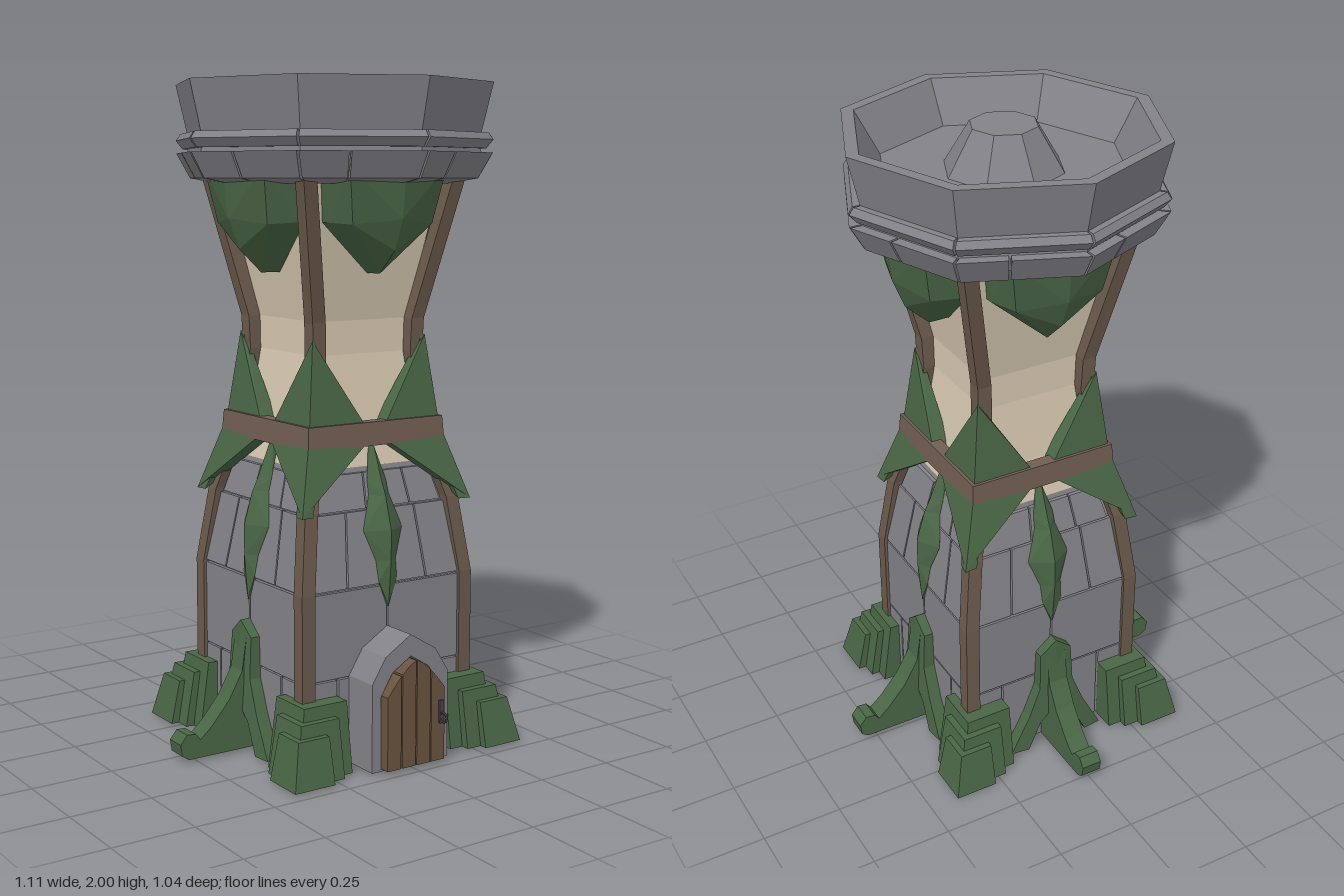
import * as THREE from 'three';
import { ConvexGeometry } from 'three/addons/geometries/ConvexGeometry.js';

const paint = (name, color, side = THREE.FrontSide) => {
  const m = new THREE.MeshStandardMaterial({ color, flatShading: true, side });
  m.name = name;
  return m;
};
const V = (x, y, z) => new THREE.Vector3(x, y, z);

// Half width of the square tower at a given height
const PROFILE = [[0, 0.285], [0.53, 0.285], [0.75, 0.245], [0.87, 0.212], [1.0, 0.185], [1.2, 0.16], [1.3, 0.16], [1.8, 0.25]];
function halfWidth(y) {
  for (let i = 1; i < PROFILE.length; i++) {
    const [y0, a] = PROFILE[i - 1], [y1, b] = PROFILE[i];
    if (y <= y1) return a + (b - a) * (y - y0) / (y1 - y0);
  }
  return 0.25;
}

export function createModel() {
  const stone = paint('stone grey', 0x838288, THREE.DoubleSide);
  const plaster = paint('cream plaster', 0xd8c9b2);
  const green = paint('moss green', 0x4a6646);
  const timber = paint('timber brown', 0x6b5a4c);
  const leather = paint('belt brown', 0x725e52);
  const doorWood = paint('door brown', 0x6a5440);
  const floorWood = paint('floor brown', 0x7d6558);
  const iron = paint('dark iron', 0x48484c);

  const root = new THREE.Group();
  root.name = 'tower';
  const body = new THREE.Group();
  body.name = 'towerBody';
  body.position.z = 0.035;
  root.add(body);

  const add = (parent, name, geo, mat) => {
    const g = geo.index ? geo.toNonIndexed() : geo;
    g.computeVertexNormals();
    const mesh = new THREE.Mesh(g, mat);
    mesh.name = name;
    parent.add(mesh);
    return mesh;
  };
  const hull = (parent, name, pts, mat) => add(parent, name, new ConvexGeometry(pts), mat);
  const lathe = (name, pts, sides, mat) => add(body, name, new THREE.LatheGeometry(
    pts.map(([r, y]) => new THREE.Vector2(sides === 4 ? r * Math.SQRT2 : r, y)),
    sides, sides === 4 ? Math.PI / 4 : 0), mat);
  const extrude = (pts, depth) => new THREE.ExtrudeGeometry(
    new THREE.Shape(pts.map(([x, y]) => new THREE.Vector2(x, y))), { depth, bevelEnabled: false });

  // Square tower core: stone below, plaster above, wooden floor at the foot
  const core = (lo, hi) => PROFILE.filter(([y]) => y >= lo && y <= hi).map(([y, h]) => [h, y]);
  lathe('stoneCore', core(0, 0.87), 4, stone);
  lathe('plasterWall', core(0.87, 1.8), 4, plaster);
  add(body, 'floor', new THREE.BoxGeometry(0.56, 0.02, 0.56), floorWood).position.y = 0.06;

  // Brick that follows the slope of the wall
  function brick(parent, x0, x1, y0, y1) {
    const geo = new THREE.BoxGeometry(1, 1, 1), p = geo.attributes.position;
    for (let i = 0; i < p.count; i++) {
      const y = p.getY(i) > 0 ? y1 : y0, h = halfWidth(y);
      const x = (p.getX(i) > 0 ? x1 : x0) * h;
      p.setXYZ(i, x, y, h + (p.getZ(i) > 0 ? 0.012 : -0.01));
    }
    add(parent, 'brick', geo, stone);
  }
  const ROWS = [
    [0.01, 0.262, [-1, -0.62, 0.62, 1]],
    [0.267, 0.524, [-1, 0, 1]],
    [0.531, 0.747, [-1, -0.5, 0.5, 1]],
    [0.753, 0.855, [-0.92, -0.2, 0.45, 0.92]],
  ];
  // Hanging leaf cross-sections: height, half width, front depth
  const LEAF = [[0.93, 0.004, 0.225], [0.83, 0.034, 0.265], [0.79, 0.036, 0.285], [0.69, 0.07, 0.315],
    [0.6, 0.036, 0.315], [0.54, 0.033, 0.31], [0.46, 0.004, 0.303]];
  const POST = [[0, 0.307], [0.53, 0.307], [0.76, 0.277], [0.95, 0.225], [1.2, 0.197], [1.3, 0.2], [1.74, 0.29]];
  const TOE = [[0.27, 0.01], [0.27, 0.39], [0.3, 0.385], [0.33, 0.35], [0.345, 0.25], [0.39, 0.17], [0.45, 0.1],
    [0.49, 0.065], [0.505, 0.085], [0.535, 0.087], [0.557, 0.06], [0.552, 0.025], [0.53, 0.01]];
  const LEG = [[0, 0.4], [0.055, 0.355], [0.06, 0.23], [0.1, 0.13], [0.165, 0.005], [0.105, 0.005], [0.06, 0.1], [0, 0.16]];

  for (let k = 0; k < 4; k++) {
    const side = new THREE.Group();
    side.name = ['frontSide', 'leftSide', 'backSide', 'rightSide'][k];
    side.rotation.y = k * Math.PI / 2;
    body.add(side);

    for (const [y0, y1, cuts] of ROWS)
      for (let i = 1; i < cuts.length; i++) brick(side, cuts[i - 1] + 0.011, cuts[i] - 0.011, y0, y1);

    // Timber corner post
    for (let i = 1; i < POST.length; i++) {
      const pts = [];
      for (const [y, h] of [POST[i - 1], POST[i]])
        for (const x of [h, h - 0.045]) for (const z of [h, h - 0.045]) pts.push(V(x, y, z));
      hull(side, 'cornerPost', pts, timber);
    }

    // Cloth wedges above and below the belt: x, y, z, thickness
    for (const s of [-1, 1]) {
      const wedge = (pts) => hull(side, 'sash',
        pts.flatMap(([x, y, z, t]) => [V(s * x, y, z), V(s * Math.min(x, z - 0.005), y, z - t)]), green);
      wedge([[0.202, 1.25, 0.202, 0.015], [0.236, 0.97, 0.236, 0.06], [0.02, 0.97, 0.236, 0.06]]);
      wedge([[0.238, 0.97, 0.238, 0.05], [0.015, 0.96, 0.238, 0.05], [0.303, 0.755, 0.303, 0.04]]);
    }

    // Hanging leaf
    for (let i = 1; i < LEAF.length; i++)
      hull(side, 'hangingLeaf', [LEAF[i - 1], LEAF[i]].flatMap(([y, w, z]) => {
        const b = Math.min(halfWidth(y) + 0.015, z - 0.012);
        return [V(-w, y, b), V(w, y, b), V(0, y, z), V(0, y, b - 0.02)];
      }), green);

    // Faceted pod under the crown
    const pod = [V(0, 1.44, 0.25), V(0, 1.44, 0.18), V(0, 1.51, 0.325), V(0, 1.6, 0.362), V(0, 1.75, 0.38)];
    for (const s of [-1, 1])
      pod.push(V(s * 0.2, 1.75, 0.22), V(s * 0.175, 1.59, 0.2), V(s * 0.175, 1.59, 0.235),
        V(s * 0.2, 1.75, 0.265), V(s * 0.17, 1.75, 0.345), V(s * 0.14, 1.585, 0.315));
    hull(side, 'pod', pod, green);

    // Clawed root, on every side but the door side
    if (k > 0) {
      const toe = extrude(TOE, 0.066);
      toe.translate(0, 0, -0.033).rotateY(-Math.PI / 2);
      const tp = toe.attributes.position;
      for (let i = 0; i < tp.count; i++) if (tp.getY(i) > 0.36) tp.setX(i, tp.getX(i) * 0.4);
      add(side, 'rootToe', toe, green);
      for (const s of [-1, 1]) {
        // Reversed outline keeps the mirrored leg facing outward
        const leg = extrude(LEG.map(([x, y]) => [s * x, y]), 0.06), p = leg.attributes.position;
        for (let i = 0; i < p.count; i++) {
          const slope = p.getZ(i) > 0.03 ? 0.07 * (0.4 - p.getY(i)) - 0.12 * Math.abs(p.getX(i)) : 0;
          p.setZ(i, 0.27 + p.getZ(i) + slope);
        }
        add(side, 'rootLeg', leg, green);
      }
    }
  }

  // Stepped corner buttresses, set slightly further out in depth
  for (const sx of [-1, 1]) for (const sz of [-1, 1])
    for (const [inner, outer, h] of [[0.275, 0.41, 0.14], [0.225, 0.385, 0.177], [0.18, 0.358, 0.215]]) {
      const pts = [];
      for (const [y, o] of [[0.005, outer], [h, outer - 0.03]])
        for (const x of [inner, o]) for (const z of [inner, o]) pts.push(V(sx * x, y, sz * (z + 0.02)));
      hull(body, 'cornerButtress', pts, green);
    }

  // Belt
  lathe('belt', [[0.2, 0.935], [0.246, 0.935], [0.241, 1.005], [0.2, 1.005]], 4, leather);

  // Crown bowl with a raised hub in the middle
  lathe('crownBowl', [[0, 1.735], [0.425, 1.735], [0.45, 1.785], [0.445, 1.83], [0.484, 1.995], [0.445, 1.995], [0.37, 1.87],
    [0.178, 1.87], [0.1, 2.0], [0, 2.0]], 8, stone);

  // Crown stone courses: blocks between neighbouring octagon corners
  function course(name, cuts, section) {
    for (let k = 0; k < 8; k++) {
      const a = k * Math.PI / 4, b = a + Math.PI / 4;
      for (let i = 1; i < cuts.length; i++) {
        const pts = [];
        for (const t of [cuts[i - 1] + 0.01, cuts[i] - 0.01])
          for (const [r, y] of section)
            pts.push(V(r * (Math.sin(a) * (1 - t) + Math.sin(b) * t), y, r * (Math.cos(a) * (1 - t) + Math.cos(b) * t)));
        hull(body, name, pts, stone);
      }
    }
  }
  course('crownLowerBlock', [0, 0.4, 1], [[0.36, 1.7], [0.442, 1.715], [0.485, 1.79], [0.36, 1.79]]);
  course('crownLedge', [0, 1], [[0.4, 1.802], [0.465, 1.802], [0.486, 1.828], [0.472, 1.848], [0.4, 1.848]]);

  // Pointed stone doorway
  const arch = [[-0.137, 0.005], [-0.137, 0.27], [-0.09, 0.345], [0, 0.4], [0.09, 0.345], [0.137, 0.27], [0.137, 0.005]];
  const frame = new THREE.Shape(arch.map(([x, y]) => new THREE.Vector2(x, y)));
  frame.holes.push(new THREE.Path([[-0.106, 0.012], [0.106, 0.012], [0.106, 0.23], [0.065, 0.295], [0, 0.335], [-0.065, 0.295], [-0.106, 0.23]]
    .map(([x, y]) => new THREE.Vector2(x, y))));
  add(body, 'doorFrame', new THREE.ExtrudeGeometry(frame, { depth: 0.145, bevelEnabled: false }), stone).position.z = 0.27;

  // Door planks with their tops cut to the arch
  const top = (x) => 0.23 + 0.1 * (1 - Math.pow(Math.abs(x) / 0.105, 1.4));
  for (let i = 0; i < 4; i++) {
    const x0 = -0.105 + i * 0.0525 + 0.002, x1 = x0 + 0.0485, xm = (x0 + x1) / 2;
    add(body, 'doorPlank', extrude([[x0, 0.012], [x1, 0.012], [x1, top(x1)], [xm, top(xm)], [x0, top(x0)]], 0.05), doorWood)
      .position.z = 0.395;
  }
  add(body, 'handlePlate', new THREE.BoxGeometry(0.014, 0.07, 0.008), iron).position.set(0.088, 0.16, 0.447);
  const ring = add(body, 'doorHandle', new THREE.TorusGeometry(0.015, 0.004, 5, 10), iron);
  ring.position.set(0.088, 0.145, 0.46);
  ring.rotation.y = Math.PI / 2;

  return root;
}
